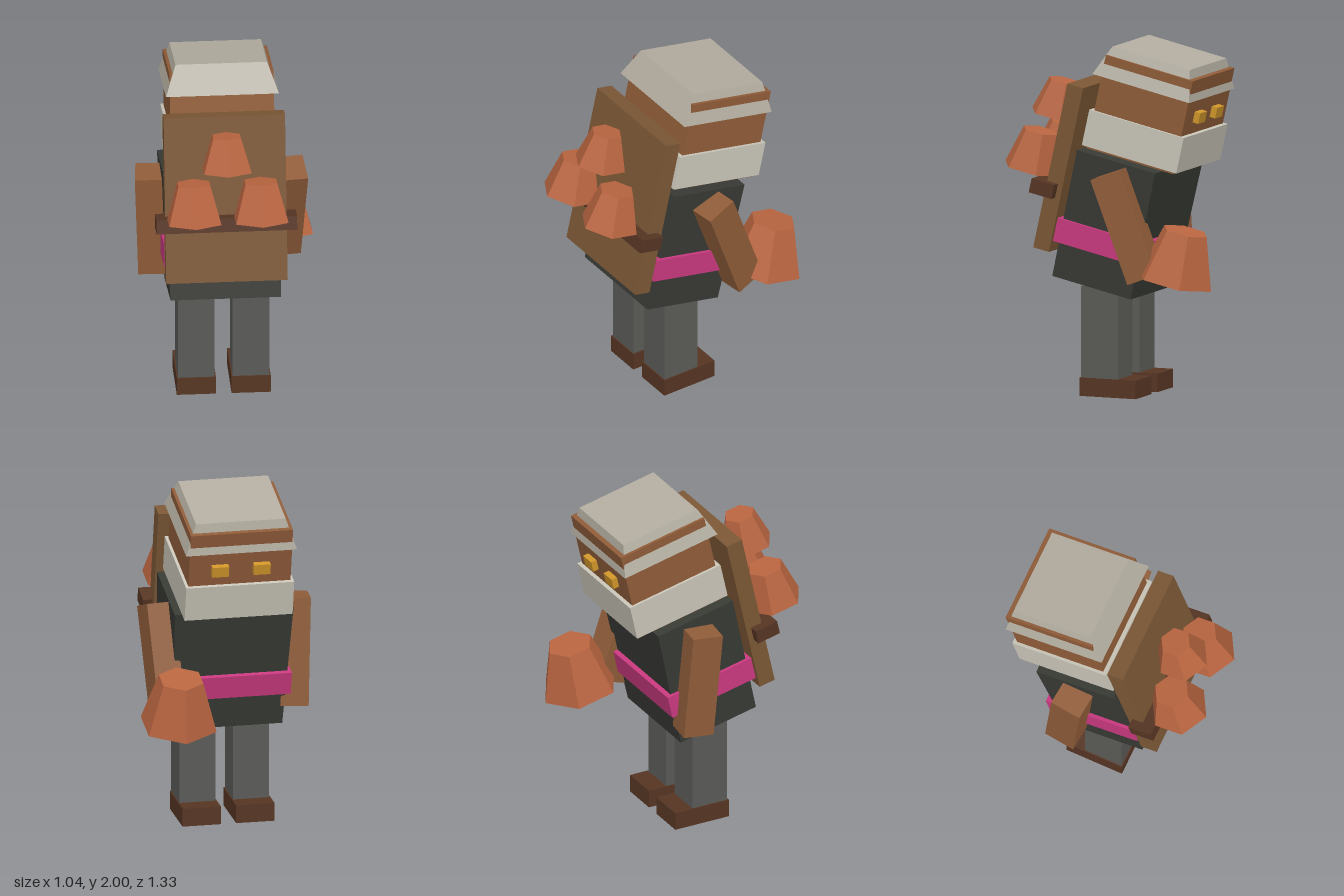
import * as THREE from 'three';

const mat = (name, color) => {
  const m = new THREE.MeshStandardMaterial({ color, flatShading: true });
  m.name = name;
  return m;
};

export function createModel() {
  const skin = mat('skin brown', 0x8f5c39);
  const wood = mat('board brown', 0x7b5735);
  const darkWood = mat('dark brown', 0x563523);
  const clay = mat('terracotta', 0xb96540);
  const beardMat = mat('off white', 0xc9c5b8);
  const hatMat = mat('warm grey', 0xb3ada0);
  const cloth = mat('charcoal', 0x383a34);
  const trousers = mat('grey', 0x5a5b57);
  const pink = mat('pink', 0xc9397f);
  const gold = mat('gold', 0xd0962a);

  const model = new THREE.Group();
  model.name = 'figure';

  const add = (parent, name, geo, material, x, y, z) => {
    const mesh = new THREE.Mesh(geo, material);
    mesh.name = name;
    mesh.position.set(x, y, z);
    parent.add(mesh);
    return mesh;
  };
  // Box given by its half width and its y and z ranges
  const slab = (parent, name, material, x, hw, y0, y1, z0, z1) =>
    add(parent, name, new THREE.BoxGeometry(hw * 2, y1 - y0, z1 - z0), material, x, (y0 + y1) / 2, (z0 + z1) / 2);
  // Scale the upper or lower end of a box to taper it
  const taper = (mesh, top, sx, sz) => {
    const p = mesh.geometry.attributes.position;
    for (let i = 0; i < p.count; i++) {
      if (p.getY(i) > 0 === top) p.setXYZ(i, p.getX(i) * sx, p.getY(i), p.getZ(i) * sz);
    }
    mesh.geometry.computeVertexNormals();
    return mesh;
  };
  // Six-sided tapered pot
  const pot = (parent, name, rTop, rBottom, x, y0, y1, z) =>
    add(parent, name, new THREE.CylinderGeometry(rTop, rBottom, y1 - y0, 6), clay, x, (y0 + y1) / 2, z);

  // Legs and shoes
  const cx = -0.027;
  for (const [side, s] of [['left', 1], ['right', -1]]) {
    const x = cx + s * 0.155;
    slab(model, side + 'Leg', trousers, x, 0.104, 0.1, 0.627, -0.055, 0.17);
    slab(model, side + 'Shoe', darkWood, x, 0.111, 0, 0.105, -0.168, 0.177);
  }

  // Upper body leans toward -z
  const lean = new THREE.Group();
  lean.name = 'upperBody';
  lean.position.set(cx, 0.628, 0.083);
  lean.rotation.x = -0.22;
  model.add(lean);

  taper(slab(lean, 'torso', cloth, 0, 0.343, 0, 0.75, -0.245, 0.247), false, 0.91, 1.005);
  slab(lean, 'sash', pink, 0, 0.346, 0.204, 0.341, -0.275, 0.275);

  // Head, beard and tapered cap
  slab(lean, 'head', skin, 0, 0.295, 0.765, 1.315, -0.337, 0.212);
  slab(lean, 'beard', beardMat, 0, 0.312, 0.778, 0.988, -0.36, 0.236);
  taper(slab(lean, 'cap', hatMat, 0, 0.32, 1.194, 1.365, -0.352, 0.259), true, 0.81, 0.8);
  for (const s of [-1, 1]) {
    slab(lean, s > 0 ? 'leftEye' : 'rightEye', gold, s * 0.12, 0.048, 1.056, 1.119, -0.372, -0.33);
  }

  // Carrying board with shelf and pots
  slab(lean, 'board', wood, 0, 0.344, 0.135, 1.104, 0.286, 0.385);
  slab(lean, 'shelf', darkWood, 0, 0.398, 0.447, 0.529, 0.317, 0.459);
  pot(lean, 'upperPot', 0.09, 0.155, 0, 0.831, 1.032, 0.544);
  for (const s of [-1, 1]) pot(lean, 'lowerPot', 0.104, 0.171, s * 0.19, 0.536, 0.761, 0.547);

  // Pot held in the hand
  pot(lean, 'heldPot', 0.133, 0.226, 0.348, 0.187, 0.482, -0.502);

  // Arms
  const arm = (name, x, y, z, rx, ry, rz) =>
    add(model, name, new THREE.BoxGeometry(0.16, 0.628, 0.183), skin, x, y, z).rotation.set(rx, ry, rz, 'YXZ');
  arm('leftArm', 0.36, 1.005, -0.17, 0.354, 0.12, 0);
  arm('rightArm', -0.42, 0.99, -0.092, 0.08, -0.09, 0.03);

  return model;
}
